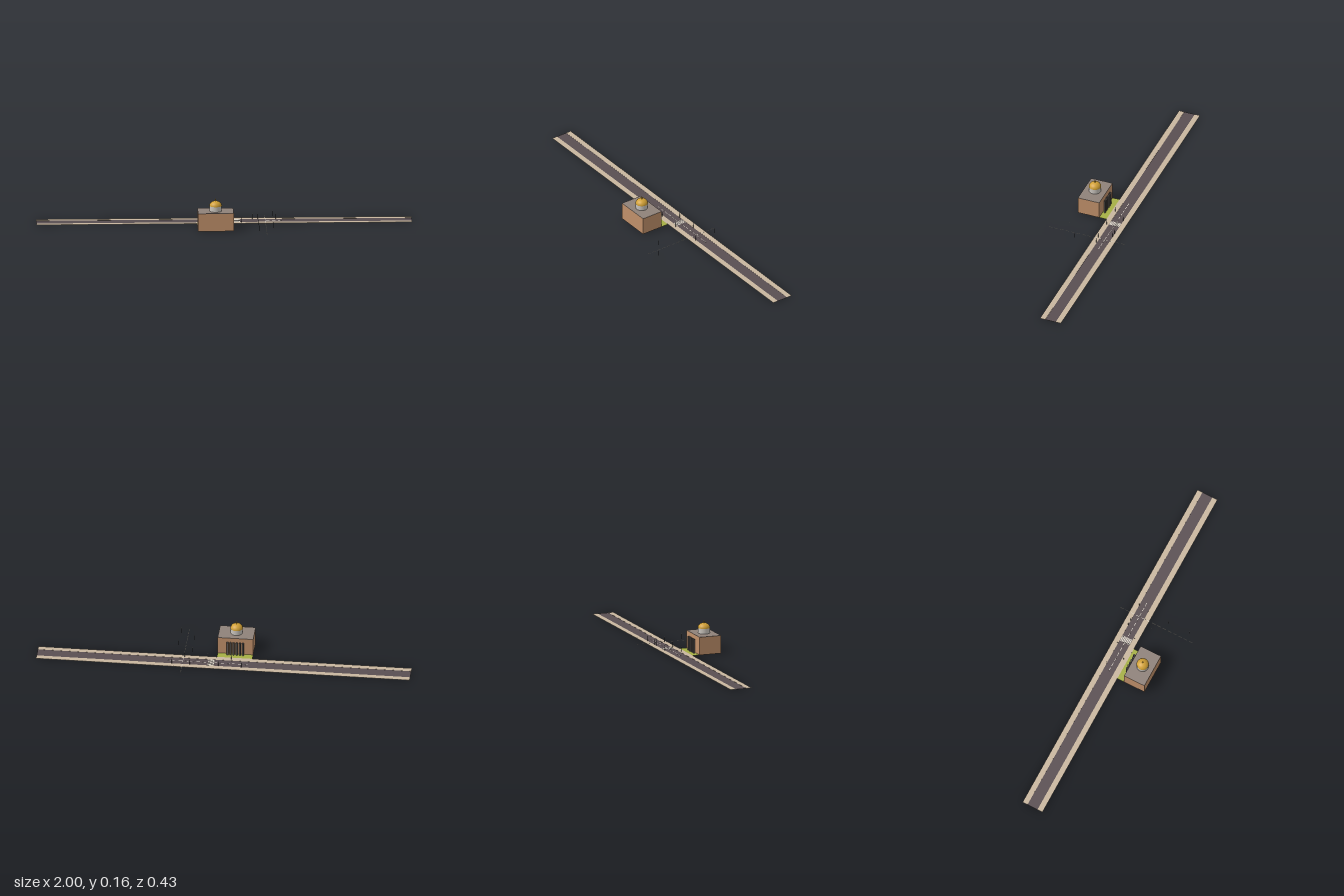
import * as THREE from 'three';

const paint = (name, color) => {
  const m = new THREE.MeshStandardMaterial({ color });
  m.name = name;
  return m;
};

export function createModel() {
  const model = new THREE.Group();
  model.name = 'streetWithDomedHall';
  const mats = {
    wall: paint('clay wall', 0xc0906a),
    roof: paint('roof grey', 0x8f827a),
    stone: paint('pale stone', 0xcac5be),
    gold: paint('dome gold', 0xd2a136),
    column: paint('column grey', 0x67615d),
    pavement: paint('pavement tan', 0xc9b79f),
    asphalt: paint('asphalt', 0x5a4f52),
    lawn: paint('lawn green', 0xa6b045),
    marking: paint('road marking', 0xdad4c8),
    pole: paint('pole black', 0x383838),
  };
  const add = (name, geo, mat, x, y, z, parent = model) => {
    const mesh = new THREE.Mesh(geo, mat);
    mesh.name = name;
    mesh.position.set(x, y, z);
    parent.add(mesh);
    return mesh;
  };
  const box = (name, mat, w, h, d, x, base, z, parent) =>
    add(name, new THREE.BoxGeometry(w, h, d), mat, x, base + h / 2, z, parent);
  const group = (name) => {
    const g = new THREE.Group();
    g.name = name;
    model.add(g);
    return g;
  };

  // Main road with a pavement on each side
  const roadZ = -0.103;
  box('road', mats.asphalt, 2, 0.0006, 0.06, 0, 0, roadZ);
  for (const s of [-1, 1]) box('pavement', mats.pavement, 2, 0.0012, 0.03, 0, 0, roadZ + s * 0.045);

  // Dashed centre lines of the main road and the cross street
  const lines = group('laneMarkings');
  const crossX = 0.22;
  for (let i = 0; i < 14; i++) {
    const t = (i - 6.5) * 0.0318;
    box('mainDash', mats.marking, 0.02, 0.0005, 0.003, 0.09 + t, 0.0006, roadZ, lines);
    box('crossDash', mats.marking, 0.003, 0.0005, 0.02, crossX, 0.0008, t, lines);
  }

  // Pedestrian crossing
  const crossing = group('crossing');
  for (let i = -3; i <= 3; i++)
    box('crossingStripe', mats.marking, 0.033, 0.0006, 0.006, 0.069, 0.0006, roadZ + i * 0.0084, crossing);

  // Hall: walls, roof, lawn
  const hallX = -0.05;
  box('hallWalls', mats.wall, 0.19, 0.096, 0.122, hallX, 0, 0.059);
  box('hallRoof', mats.roof, 0.19, 0.001, 0.122, hallX, 0.096, 0.059);
  box('lawn', mats.lawn, 0.19, 0.0008, 0.041, hallX, 0, -0.0225);

  // Drum, dome and finial
  add('drum', new THREE.CylinderGeometry(0.032, 0.032, 0.029, 32), mats.stone, hallX, 0.1115, 0.06);
  const dome = add('dome', new THREE.SphereGeometry(0.033, 32, 12, 0, Math.PI * 2, 0, Math.PI / 2),
    mats.gold, hallX, 0.125, 0.06);
  dome.scale.y = 0.82;
  const rim = add('domeUnderside', new THREE.CircleGeometry(0.033, 32), mats.gold, hallX, 0.125, 0.06);
  rim.rotation.x = Math.PI / 2;
  add('finial', new THREE.CylinderGeometry(0.003, 0.003, 0.013, 10), mats.gold, hallX, 0.1565, 0.06);

  // Colonnade facing the road
  const colonnade = group('colonnade');
  const columnGeo = new THREE.CylinderGeometry(0.0055, 0.0055, 0.076, 14);
  for (let i = 0; i < 6; i++)
    add('column', columnGeo, mats.column, hallX + (i - 2.5) * 0.0165, 0.038, -0.0125, colonnade);

  // Street lamps, alternating sides along both streets
  const poleGeo = new THREE.CylinderGeometry(0.0008, 0.0008, 0.029, 6);
  const headGeo = new THREE.SphereGeometry(0.0017, 8, 6);
  const lamps = group('streetLamps');
  const lamp = (x, z) => {
    add('lampPole', poleGeo, mats.pole, x, 0.0145, z, lamps);
    add('lampHead', headGeo, mats.stone, x, 0.0293, z, lamps);
  };
  for (let i = 0; i < 7; i++) {
    const t = (i - 3) * 0.062, side = i % 2 ? 1 : -1;
    lamp(0.09 + t, -0.098 + side * 0.035);
    lamp(crossX - side * 0.04, -0.009 + t);
  }
  return model;
}
